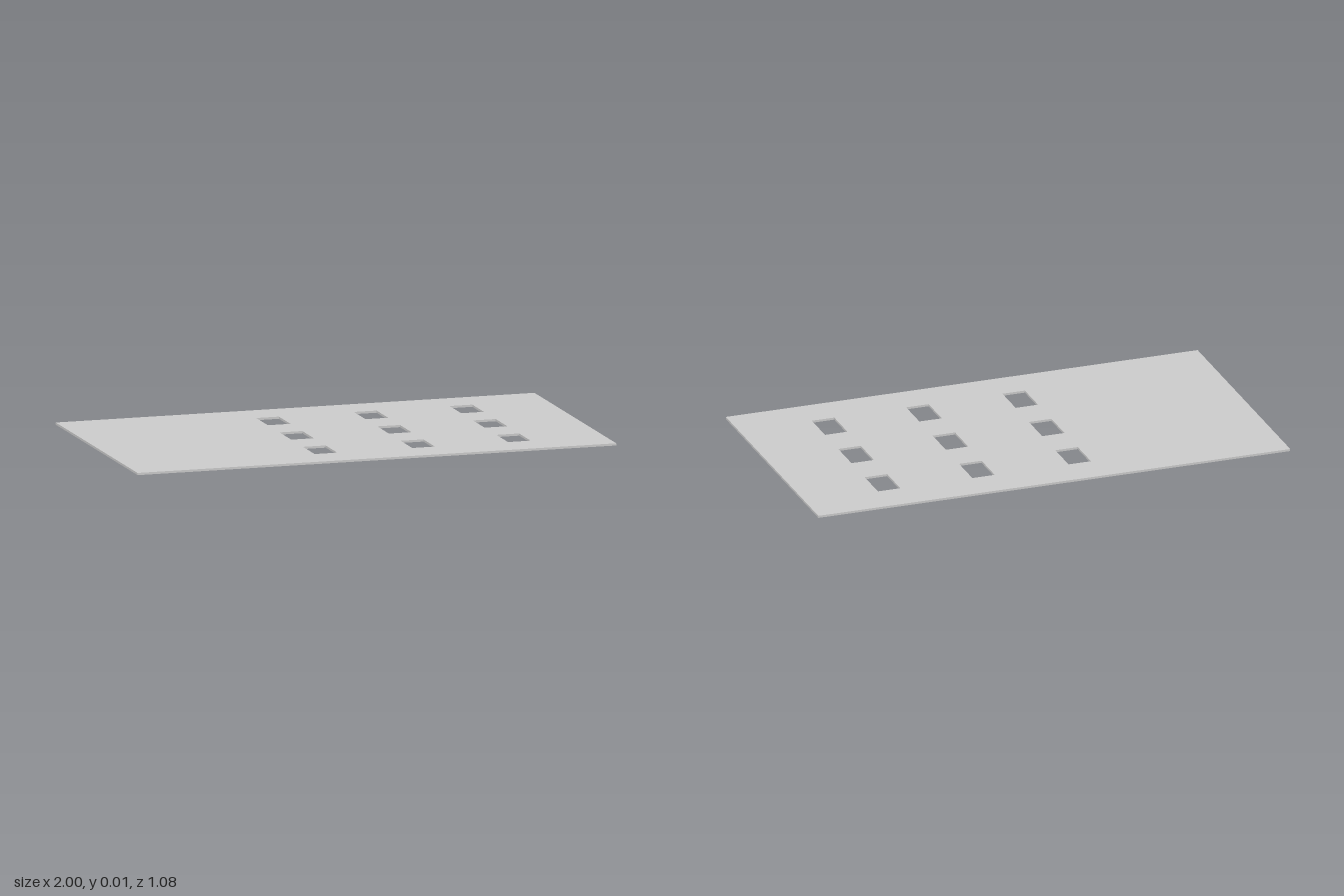
import * as THREE from 'three';

const LENGTH = 2, DEPTH = 1.078, THICKNESS = 0.009;
const HOLE_WIDTH = 0.095, HOLE_DEPTH = DEPTH / 7;

// Adds a rectangle, given by its centre and size, to a shape or path
function rectangle(path, x, y, w, h) {
  path.moveTo(x - w / 2, y - h / 2);
  path.lineTo(x + w / 2, y - h / 2);
  path.lineTo(x + w / 2, y + h / 2);
  path.lineTo(x - w / 2, y + h / 2);
  path.closePath();
  return path;
}

export function createModel() {
  const group = new THREE.Group();
  group.name = 'perforatedPanel';

  // Thin slab with three columns of three rectangular openings
  const outline = rectangle(new THREE.Shape(), 0, 0, LENGTH, DEPTH);
  for (const x of [-0.164, 0.244, 0.644]) {
    for (const row of [-1, 0, 1]) {
      outline.holes.push(rectangle(new THREE.Path(), x, row * 2 * HOLE_DEPTH, HOLE_WIDTH, HOLE_DEPTH));
    }
  }
  const geometry = new THREE.ExtrudeGeometry(outline, { depth: THICKNESS, bevelEnabled: false });
  geometry.rotateX(-Math.PI / 2);

  const slab = new THREE.Mesh(geometry, new THREE.MeshStandardMaterial({ color: 0xcccccc, flatShading: true }));
  slab.name = 'slab';
  group.add(slab);
  return group;
}
